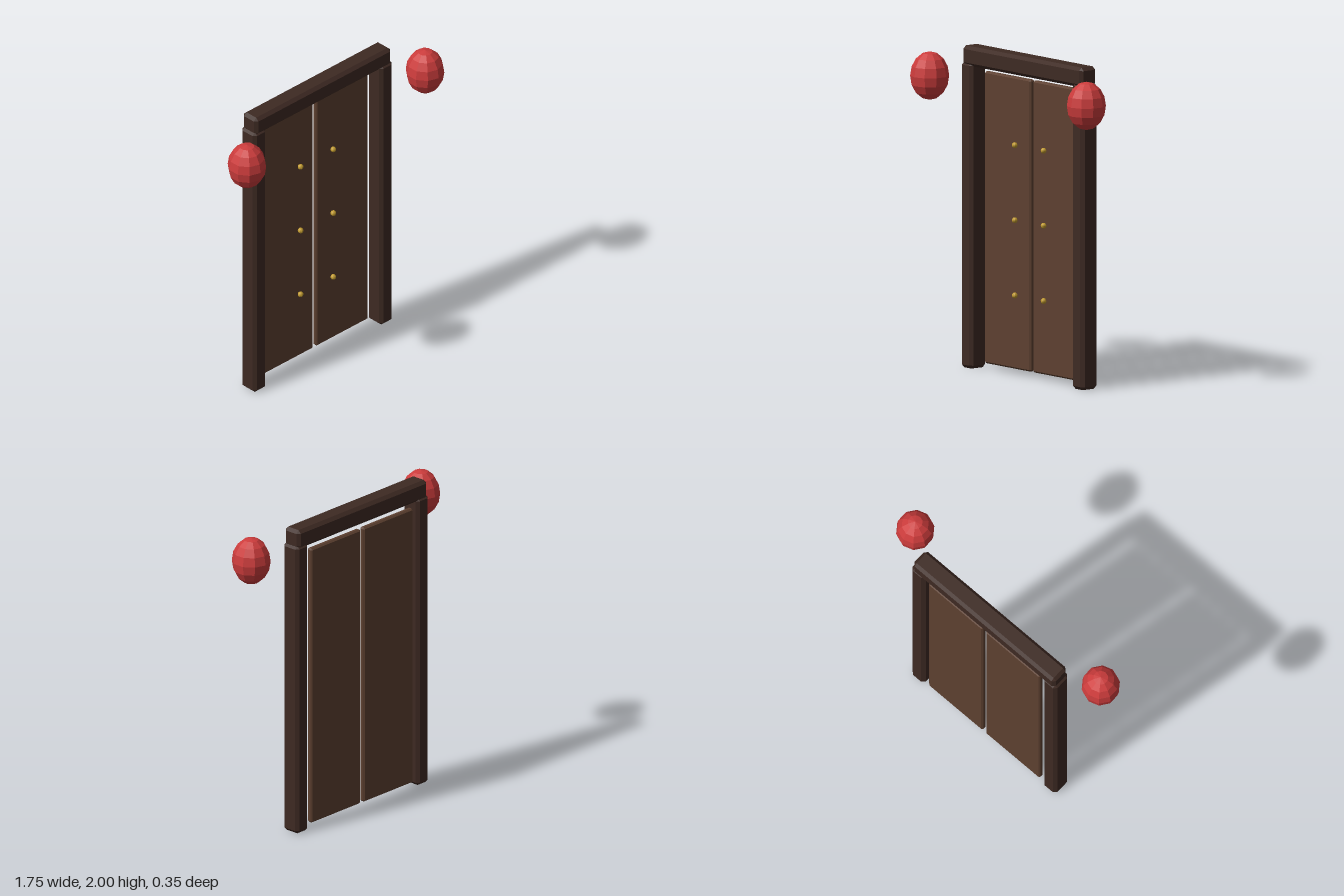
import * as THREE from 'three';
import { ConvexGeometry } from 'three/addons/geometries/ConvexGeometry.js';

const material = (color) => new THREE.MeshStandardMaterial({ color, flatShading: true });

// Box with a flat chamfer of width c on every edge: the hull of its 24 corners
function chamferBox(w, h, d, c) {
  const points = [];
  for (const sx of [-1, 1]) for (const sy of [-1, 1]) for (const sz of [-1, 1]) {
    for (let full = 0; full < 3; full++) {
      const inset = [0, 1, 2].map((axis) => (axis === full ? 0 : c));
      points.push(new THREE.Vector3(
        sx * (w / 2 - inset[0]), sy * (h / 2 - inset[1]), sz * (d / 2 - inset[2])));
    }
  }
  return new ConvexGeometry(points);
}

export function createModel() {
  const model = new THREE.Group();
  model.name = 'doorway';

  const frameWood = material(0x3e2a23);
  const doorWood = material(0x5d4030);
  const red = material(0xcc3c3c);
  const brass = material(0xc09a30);

  function add(name, geometry, mat, x, y, z) {
    const mesh = new THREE.Mesh(geometry, mat);
    mesh.name = name;
    mesh.position.set(x, y, z);
    model.add(mesh);
    return mesh;
  }

  // Frame beam across the top
  const frameZ = -0.111;
  add('lintel', chamferBox(1.165, 0.123, 0.126, 0.02), frameWood, 0, 1.9385, frameZ);

  const post = chamferBox(0.108, 1.9, 0.128, 0.02);
  const leaf = chamferBox(0.446, 1.812, 0.038, 0.01);
  const stud = new THREE.SphereGeometry(0.018, 10, 8);
  // Ten-sided lantern, taller than wide, with a corner facing forward
  const lantern = new THREE.SphereGeometry(0.12, 10, 8).rotateY(Math.PI / 2).scale(1, 1.25, 1);

  for (const [side, s] of [['left', 1], ['right', -1]]) {
    add(`${side}Post`, post, frameWood, s * 0.541, 0.95, frameZ);
    add(`${side}Door`, leaf, doorWood, s * 0.235, 0.94, -0.147);
    // Row of brass studs on the front of the door
    for (const y of [0.495, 0.962, 1.428]) add(`${side}Stud`, stud, brass, s * 0.14, y, -0.111);
    add(`${side}Lantern`, lantern, red, s * 0.762, 1.8, 0.056);
  }

  return model;
}
